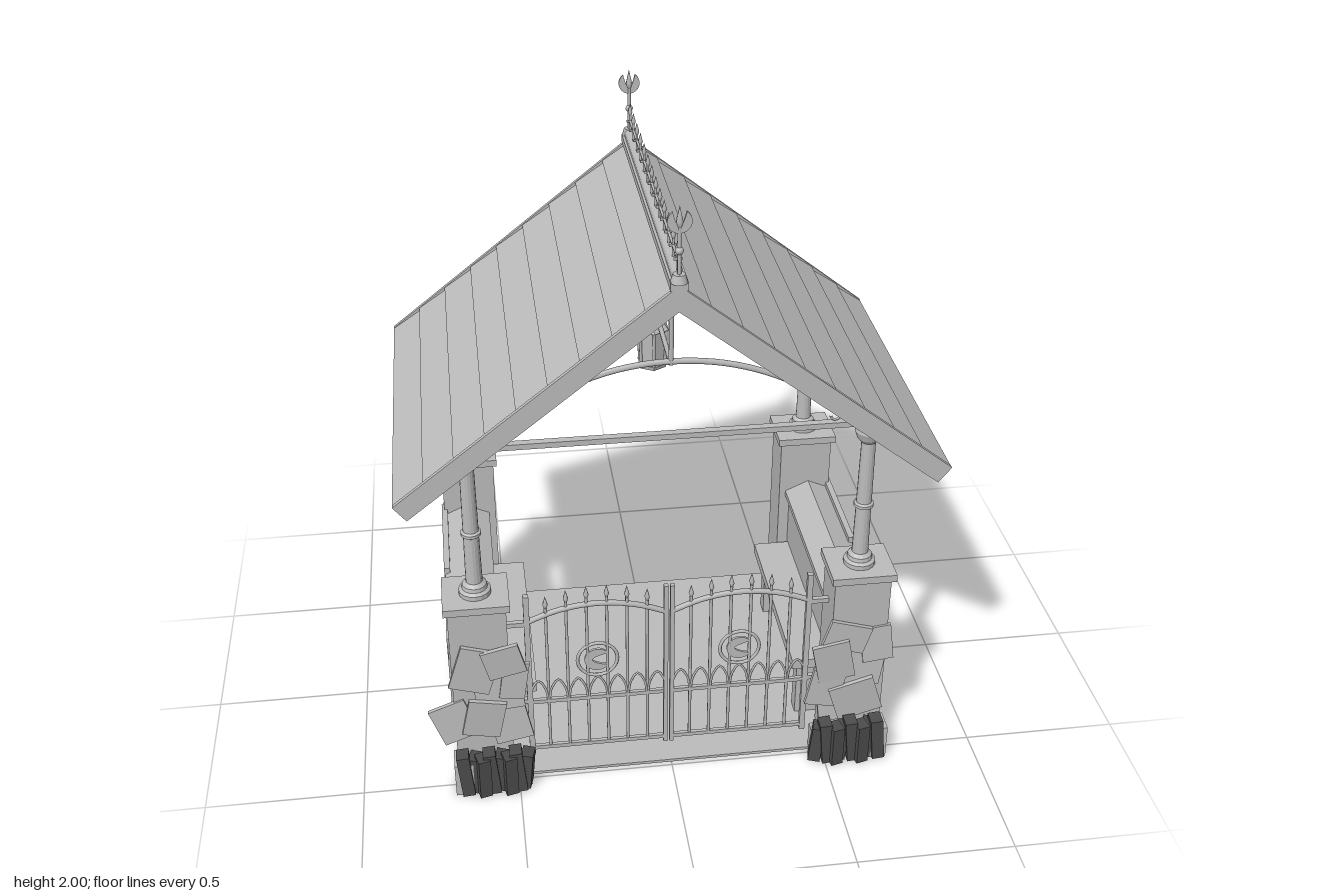
import * as THREE from 'three';

const stone = new THREE.MeshStandardMaterial({ color: 0xbcbcbc });
stone.name = 'paleGrey';
const dark = new THREE.MeshStandardMaterial({ color: 0x4c4c4c });
dark.name = 'darkGrey';

const V = (x, y, z) => new THREE.Vector3(x, y, z);

function add(parent, name, geo, x = 0, y = 0, z = 0, mat = stone) {
  const m = new THREE.Mesh(geo, mat);
  m.name = name;
  m.position.set(x, y, z);
  parent.add(m);
  return m;
}
// Box from minimum and maximum corners
function box(parent, name, x0, x1, y0, y1, z0, z1, mat = stone) {
  return add(parent, name, new THREE.BoxGeometry(x1 - x0, y1 - y0, z1 - z0),
    (x0 + x1) / 2, (y0 + y1) / 2, (z0 + z1) / 2, mat);
}
function group(parent, name) {
  const g = new THREE.Group();
  g.name = name;
  parent.add(g);
  return g;
}
function tube(parent, name, pts, r, seg = 24) {
  return add(parent, name, new THREE.TubeGeometry(new THREE.CatmullRomCurve3(pts), seg, r, 6, false));
}
// Straight round rod between two points
function rod(parent, name, a, b, r, sides = 6) {
  const m = add(parent, name, new THREE.CylinderGeometry(r, r, a.distanceTo(b), sides));
  m.position.copy(a).add(b).multiplyScalar(0.5);
  m.quaternion.setFromUnitVectors(V(0, 1, 0), b.clone().sub(a).normalize());
  return m;
}
function spear(parent, x, y, z, h = 0.045, r = 0.009) {
  const pts = [[0, 0], [r * 0.5, 0], [r, h * 0.3], [0, h]].map(p => new THREE.Vector2(...p));
  return add(parent, 'spearTip', new THREE.LatheGeometry(pts, 6), x, y, z);
}
// Flat crescent, horns pointing to +x
function crescent(parent, name, r, x, y, z) {
  const s = new THREE.Shape();
  s.absarc(0, 0, r, 0.6, Math.PI * 2 - 0.6, false);
  s.quadraticCurveTo(-r * 1.6, 0, r * Math.cos(0.6), r * Math.sin(0.6));
  const g = new THREE.ExtrudeGeometry(s, { depth: 0.008, bevelEnabled: false, curveSegments: 16 });
  return add(parent, name, g.translate(0, 0, -0.004), x, y, z);
}

// Stone pier with cap, and the turned column above it
function pier(parent, x, z) {
  const g = group(parent, 'pier');
  g.position.set(x, 0, z);
  box(g, 'pierShaft', -0.09, 0.09, 0, 0.675, -0.072, 0.072);
  box(g, 'pierCap', -0.102, 0.102, 0.675, 0.7, -0.088, 0.088);
  const prof = [[0.05, 0.7], [0.05, 0.715], [0.04, 0.722], [0.038, 0.735], [0.026, 0.745], [0.024, 0.91],
    [0.031, 0.915], [0.031, 0.925], [0.024, 0.93], [0.022, 1.145], [0.036, 1.16], [0.045, 1.185], [0.04, 1.205], [0, 1.205]];
  const geo = new THREE.LatheGeometry(prof.map(p => new THREE.Vector2(...p)), 16).toNonIndexed();
  geo.computeVertexNormals();
  add(g, 'column', geo);
}

// Low wall with a gabled coping, cladding slabs and bench
function sideWall(parent, s) {
  const g = group(parent, s > 0 ? 'leftWall' : 'rightWall');
  const b = (n, x0, x1, ...r) => box(g, n, Math.min(s * x0, s * x1), Math.max(s * x0, s * x1), ...r);
  b('wall', 0.55, 0.685, 0, 0.46, -0.4, 0.4);
  const c = new THREE.Shape([[0.535, 0.455], [0.698, 0.455], [0.698, 0.475], [0.617, 0.512], [0.535, 0.475]]
    .map(p => new THREE.Vector2(...p)));
  const cg = new THREE.ExtrudeGeometry(c, { depth: 0.86, bevelEnabled: false });
  add(g, 'coping', cg, s > 0 ? 0 : -1.234, 0, -0.44);
  // Stones proud of the outer face
  const slabs = [[[0.38, 0.23], [0.22, 0.23], [0.22, 0.5], [0.38, 0.5]],
    [[0, 0.23], [-0.15, 0.23], [-0.15, 0.25], [-0.18, 0.25], [-0.18, 0.31], [-0.33, 0.31], [-0.33, 0.35], [-0.39, 0.35], [-0.39, 0.5], [0, 0.5]],
    [[-0.24, 0.2], [-0.37, 0.2], [-0.37, 0.31], [-0.24, 0.31]]];
  for (const p of slabs) {
    const geo = new THREE.ExtrudeGeometry(new THREE.Shape(p.map(q => new THREE.Vector2(-q[0], q[1]))),
      { depth: 0.02, bevelEnabled: false });
    geo.rotateY(Math.PI / 2);
    add(g, 'claddingSlab', geo, s > 0 ? 0.682 : -0.702, 0, 0);
  }
  b('benchSeat', 0.425, 0.555, 0.225, 0.26, -0.34, 0.34);
  for (const z of [-0.28, 0.28]) b('benchLeg', 0.45, 0.54, 0, 0.225, z - 0.025, z + 0.025);
}

// One gate leaf, hinge side at +x
function gateLeaf(parent, s) {
  const g = group(parent, s > 0 ? 'leftGate' : 'rightGate');
  g.position.z = 0.41;
  const X = x => s * x;
  box(g, 'hingePost', X(0.45) - 0.009, X(0.45) + 0.009, 0.03, 0.665, -0.009, 0.009);
  box(g, 'meetingPost', X(0.01) - 0.007, X(0.01) + 0.007, 0.03, 0.665, -0.008, 0.008);
  for (const y of [0.05, 0.243]) box(g, 'rail', X(0.23) - 0.22, X(0.23) + 0.22, y - 0.007, y + 0.007, -0.006, 0.006);
  for (const y of [0.25, 0.56]) box(g, 'hinge', X(0.485) - 0.04, X(0.485) + 0.04, y - 0.008, y + 0.008, -0.008, 0.008);
  const top = x => 0.617 - 1.1 * (x - 0.23) ** 2;
  tube(g, 'archedRail', [0.01, 0.09, 0.16, 0.23, 0.3, 0.37, 0.45].map(x => V(X(x), top(x), 0)), 0.009);
  for (let i = 0; i < 6; i++) {
    const x = 0.07 + i * 0.064, h = top(x) + 0.025;
    rod(g, 'bar', V(X(x), 0.05, 0), V(X(x), h, 0), 0.0055);
    spear(g, X(x), h, 0);
  }
  for (let i = 0; i < 7; i++) {
    const x = 0.038 + i * 0.064;
    tube(g, 'hoop', [[-0.03, 0.25], [-0.022, 0.295], [0, 0.328], [0.022, 0.295], [0.03, 0.25]]
      .map(p => V(X(x) + p[0], p[1], 0.004)), 0.004, 14);
  }
  add(g, 'ring', new THREE.TorusGeometry(0.064, 0.006, 6, 32), X(0.23), 0.395, 0);
  crescent(g, 'gateCrescent', 0.042, X(0.23), 0.395, 0);
}

// Tie rod, arch, king post and scrolls
function truss(parent, z) {
  const g = group(parent, 'truss');
  g.position.z = z;
  box(g, 'tieBeam', -0.6, 0.6, 1.205, 1.223, -0.012, 0.012);
  const arch = [];
  for (let i = -6; i <= 6; i++) {
    const t = i / 6;
    arch.push(V(0.57 * t, 1.215 + 0.245 * (1 - Math.abs(t) ** 2.1), 0));
  }
  tube(g, 'arch', arch, 0.009, 40);
  rod(g, 'kingPost', V(0, 1.45, 0), V(0, 1.74, 0), 0.008);
  for (const s of [-1, 1]) {
    rod(g, 'rafter', V(s * 0.7, 1.165, 0), V(0, 1.715, 0), 0.014);
    for (const [dx, dy, a] of [[0, 0.018, 0], [0, -0.012, Math.PI]]) {
      const t = add(g, 'scroll', new THREE.TorusGeometry(0.014, 0.004, 6, 14, 4.4), s * (0.495 + dx), 1.255 + dy, 0);
      t.rotation.z = a;
    }
  }
}

function roof(parent) {
  const g = group(parent, 'roof');
  g.position.z = -0.0075;
  for (const turn of [0, Math.PI]) {
    const side = group(g, 'roofSide');
    side.position.y = 1.77;
    side.rotation.y = turn;
    const slope = group(side, 'slope');
    slope.rotation.z = -0.667;
    box(slope, 'underside', 0, 1.03, -0.04, -0.024, -0.558, 0.558);
    for (let i = 0; i < 9; i++) {
      const p = add(slope, 'roofBoard', new THREE.BoxGeometry(0.123, 0.014, 1.12), 0.058 + i * 0.1157, -0.013, 0);
      p.rotation.z = 0.07;
    }
    for (const z of [-0.562, 0.562]) box(slope, 'bargeBoard', 0, 1.043, -0.062, 0, z - 0.007, z + 0.007);
  }
  // Ridge with its iron cresting and finials
  box(g, 'ridgeCap', -0.025, 0.025, 1.755, 1.78, -0.57, 0.57);
  rod(g, 'ridgeRoll', V(0, 1.785, -0.57), V(0, 1.785, 0.57), 0.018, 10);
  rod(g, 'crestRail', V(0, 1.835, -0.535), V(0, 1.835, 0.535), 0.0045);
  for (let i = 0; i < 13; i++) {
    const z = -0.535 + i * 0.0892;
    rod(g, 'crestBar', V(0, 1.79, z), V(0, 1.86, z), 0.004);
    spear(g, 0, 1.855, z, 0.04, 0.008);
    rod(g, 'crestCross', V(-0.012, 1.835, z), V(0.012, 1.835, z), 0.004);
  }
  for (const z of [-0.56, 0.56]) {
    rod(g, 'finialRod', V(0, 1.79, z), V(0, 1.94, z), 0.006);
    add(g, 'finialBase', new THREE.CylinderGeometry(0.018, 0.025, 0.025, 10), 0, 1.79, z);
    add(g, 'finialKnob', new THREE.SphereGeometry(0.012, 10, 8), 0, 1.87, z);
    crescent(g, 'finialCrescent', 0.034, 0, 1.955, z).rotation.z = Math.PI / 2;
    spear(g, 0, 1.935, z, 0.065, 0.011);
  }
}

function lantern(parent) {
  const g = group(parent, 'lantern');
  const c = (n, rt, rb, y0, y1) => {
    const geo = new THREE.CylinderGeometry(rt, rb, y1 - y0, 6).toNonIndexed();
    geo.computeVertexNormals();
    return add(g, n, geo, 0, (y0 + y1) / 2, 0);
  };
  c('lanternBase', 0.05, 0.046, 1.228, 1.242);
  c('lanternGlass', 0.045, 0.04, 1.242, 1.36);
  c('lanternHood', 0.012, 0.056, 1.36, 1.415);
  for (let i = 0; i < 6; i++) {
    const a = i * Math.PI / 3, x = Math.sin(a), z = Math.cos(a);
    rod(g, 'lanternBar', V(x * 0.043, 1.24, z * 0.043), V(x * 0.048, 1.362, z * 0.048), 0.005);
  }
  add(g, 'lanternRing', new THREE.TorusGeometry(0.015, 0.004, 6, 16), 0, 1.432, 0);
  rod(g, 'lanternPole', V(0, 1.455, -0.425), V(0, 1.455, 0.413), 0.008);
}

// Loose flat stones on the front piers and rubble at their feet
function rubble(parent, s) {
  const g = group(parent, 'frontStones');
  const slabs = s < 0
    ? [[0.695, 0.255, 0.12, 0.14, 0.35], [0.62, 0.46, 0.13, 0.16, -0.3], [0.53, 0.49, 0.12, 0.11, 0.25], [0.55, 0.36, 0.15, 0.13, 0.1],
      [0.5, 0.41, 0.08, 0.14, -0.15], [0.6, 0.27, 0.12, 0.14, -0.2], [0.52, 0.24, 0.12, 0.15, 0.2]]
    : [[0.66, 0.43, 0.1, 0.13, 0.12], [0.56, 0.47, 0.14, 0.1, -0.3], [0.52, 0.38, 0.12, 0.15, 0.2], [0.62, 0.34, 0.13, 0.13, -0.15],
      [0.5, 0.27, 0.11, 0.14, -0.2], [0.6, 0.22, 0.15, 0.14, 0.3], [0.53, 0.18, 0.1, 0.1, 0.1]];
  slabs.forEach(([x, y, w, h, a], i) => {
    const m = add(g, 'looseSlab', new THREE.BoxGeometry(w, h, 0.014), s * x, y, 0.489 + (i % 3) * 0.007);
    m.rotation.set(0.05 * (i % 3 - 1), 0, a);
  });
  box(g, 'footStone', s * 0.675 - 0.03, s * 0.675 + 0.03, 0, 0.12, 0.47, 0.55);
  box(g, 'footStone', s * 0.49 - 0.03, s * 0.49 + 0.03, 0, 0.1, 0.47, 0.53);
  for (let i = 0; i < 8; i++) {
    const h = 0.135 + 0.022 * ((i * 5) % 3) / 2;
    const m = add(g, 'shard', new THREE.BoxGeometry(0.04, h, 0.05), s * (0.475 + i * 0.028), h / 2 + 0.003, 0.525 + 0.012 * (i % 3), dark);
    m.rotation.set(0, 0.25 * (i % 3 - 1), 0.09 * ((i * 2) % 3 - 1));
  }
}

export function createModel() {
  const model = new THREE.Group();
  model.name = 'coveredGateway';
  box(model, 'floor', -0.69, 0.69, 0, 0.01, -0.497, 0.485);
  for (const s of [-1, 1]) {
    pier(model, s * 0.603, 0.413);
    pier(model, s * 0.603, -0.427);
    sideWall(model, s);
    gateLeaf(model, s);
    rubble(model, s);
    box(model, 'sideBeam', s * 0.603 - 0.015, s * 0.603 + 0.015, 1.2, 1.225, -0.427, 0.413);
  }
  truss(model, 0.413);
  truss(model, -0.427);
  roof(model);
  lantern(model);
  return model;
}
